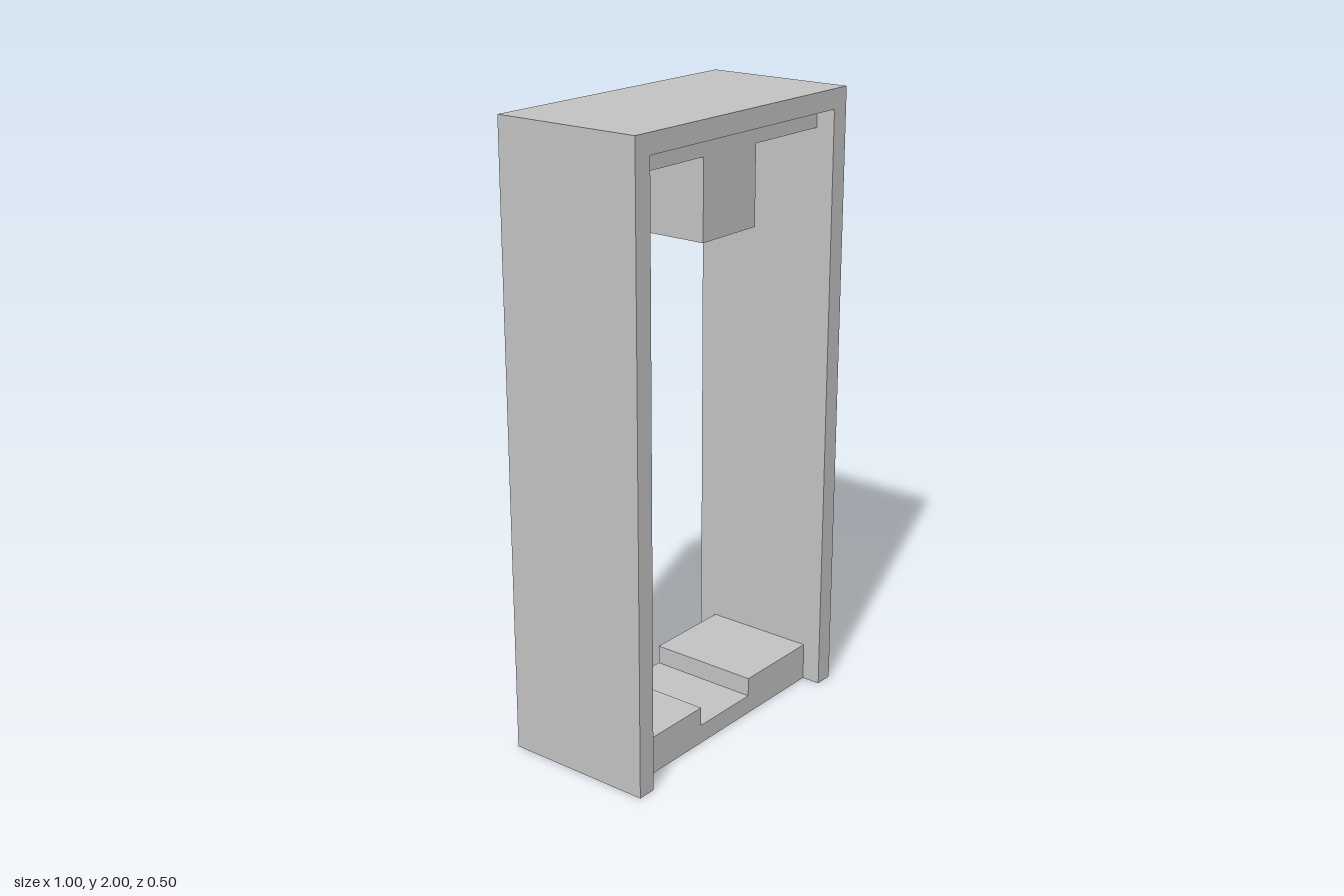
import * as THREE from 'three';

export function createModel() {
  const group = new THREE.Group();
  group.name = 'doorFrame';
  const grey = new THREE.MeshStandardMaterial({ color: 0xc3c3c3 });
  grey.name = 'lightGrey';

  const U = 0.0625; // wall thickness and recess

  // Extrudes an outline given by its right half, mirrored in x and centred on z
  function addProfile(name, half, depth) {
    const mirrored = half.map(([x, y]) => [-x, y]).reverse();
    const shape = new THREE.Shape([...half, ...mirrored].map(([x, y]) => new THREE.Vector2(x, y)));
    const geometry = new THREE.ExtrudeGeometry(shape, { depth, bevelEnabled: false });
    geometry.translate(0, 0, -depth / 2);
    const mesh = new THREE.Mesh(geometry, grey);
    mesh.name = name;
    group.add(mesh);
  }

  // Outer shell: two side walls and the top, open at the bottom
  const inner = 0.5 - U;
  addProfile('outerFrame', [[inner, 2 - U], [inner, 0], [0.5, 0], [0.5, 2]], 0.5);

  // Recessed lintel with a hanging centre block
  addProfile('lintelWithBlock',
    [[0.125, 1.625], [0.125, 2 - 2 * U], [inner, 2 - 2 * U], [inner, 2 - U]], 0.5 - 2 * U);

  // Recessed sill with a raised step on each side
  addProfile('steppedSill',
    [[inner, 0], [inner, 2 * U], [0.125, 2 * U], [0.125, U]], 0.5 - 2 * U);

  return group;
}
